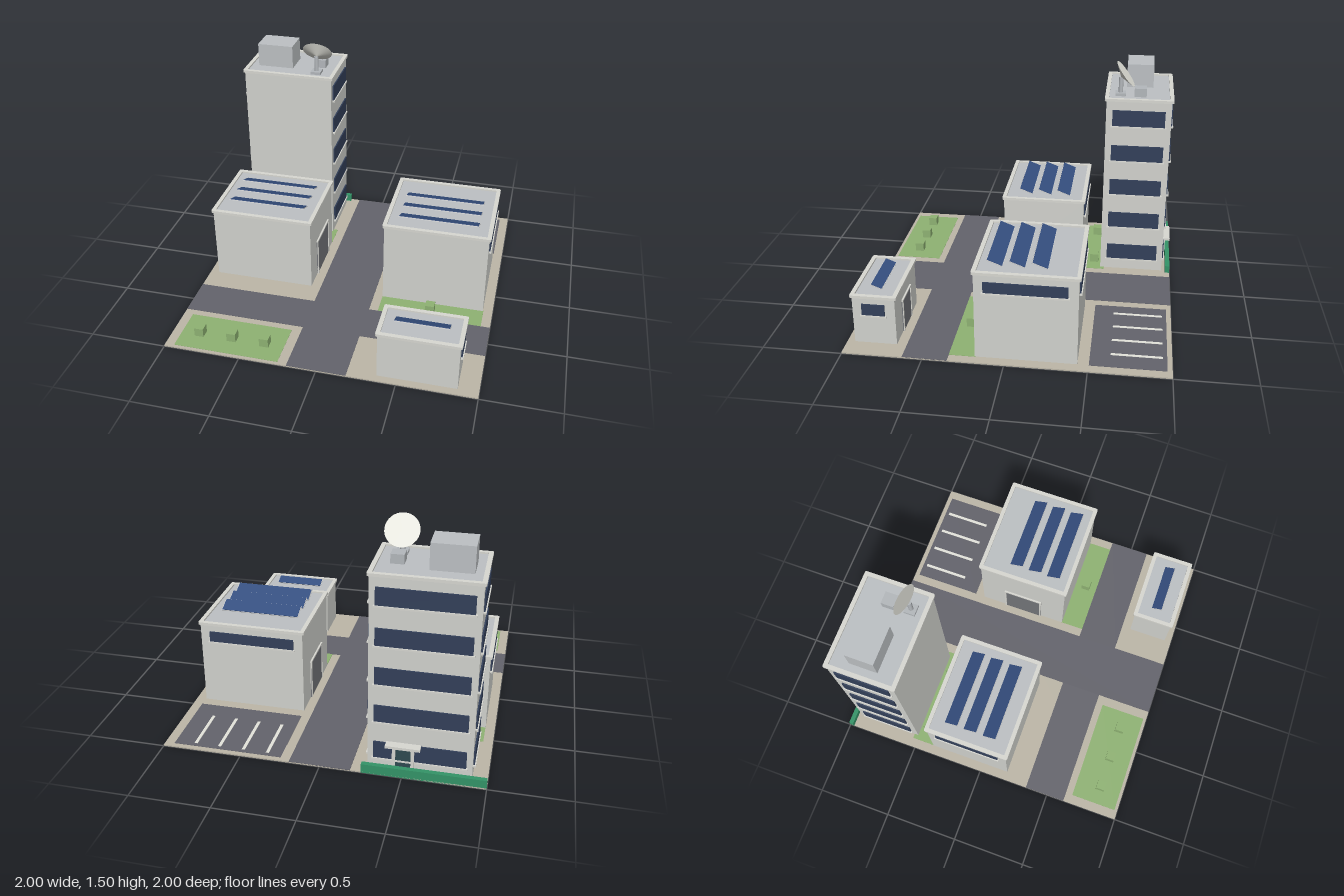
import * as THREE from 'three';

const mat = (color) => new THREE.MeshStandardMaterial({ color });
const M = {
  ground: mat(0xbdb7a8), road: mat(0x64646c), grass: mat(0x8fb373), line: mat(0xe4e4dc),
  wall: mat(0xd2d3ce), trim: mat(0xd8d8d2), roof: mat(0xbdc1c4), glass: mat(0x33405a),
  solar: mat(0x354f80), frame: mat(0xc4c6c6), door: mat(0x74767a), entry: mat(0x2f4a50),
  hedge: mat(0x349468), bush: mat(0x8fb373), dish: mat(0xe0e0d8), metal: mat(0xb4b8bc),
};
const G = 0.008; // ground level

// Box given by its extents on each axis
function box(parent, name, m, [x0, x1], [y0, y1], [z0, z1]) {
  const mesh = new THREE.Mesh(new THREE.BoxGeometry(x1 - x0, y1 - y0, z1 - z0), m);
  mesh.name = name;
  mesh.position.set((x0 + x1) / 2, (y0 + y1) / 2, (z0 + z1) / 2);
  parent.add(mesh);
  return mesh;
}

function roundedRect(target, w, d, r) {
  const a = w / 2, b = d / 2;
  target.moveTo(-a + r, -b);
  target.lineTo(a - r, -b).quadraticCurveTo(a, -b, a, -b + r);
  target.lineTo(a, b - r).quadraticCurveTo(a, b, a - r, b);
  target.lineTo(-a + r, b).quadraticCurveTo(-a, b, -a, b - r);
  target.lineTo(-a, -b + r).quadraticCurveTo(-a, -b, -a + r, -b);
  return target;
}

// Walls, recessed roof and a parapet ring with slightly rounded corners
function building(parent, name, x, z, top) {
  const g = new THREE.Group();
  g.name = name;
  parent.add(g);
  box(g, 'walls', M.wall, x, [G, top - 0.018], z);
  const w = x[1] - x[0], d = z[1] - z[0];
  box(g, 'roof', M.roof, [x[0] + 0.01, x[1] - 0.01], [top - 0.03, top - 0.011], [z[0] + 0.01, z[1] - 0.01]);
  const shape = roundedRect(new THREE.Shape(), w + 0.024, d + 0.024, 0.012);
  shape.holes.push(roundedRect(new THREE.Path(), w - 0.03, d - 0.03, 0.004));
  const geo = new THREE.ExtrudeGeometry(shape, { depth: 0.018, bevelEnabled: false, curveSegments: 3 });
  const ring = new THREE.Mesh(geo.rotateX(-Math.PI / 2), M.trim);
  ring.name = 'parapet';
  ring.position.set((x[0] + x[1]) / 2, top - 0.018, (z[0] + z[1]) / 2);
  g.add(ring);
  return g;
}

// Range standing out from a wall at p, towards direction s
const out = (p, s, t) => (s > 0 ? [p - 0.004, p + t] : [p - t, p + 0.004]);

// Window strip with a sill; axis is the wall's normal
function windowStrip(g, axis, s, p, [a, b], [y0, y1]) {
  const put = (name, m, t, range, y) => (axis === 'x'
    ? box(g, name, m, out(p, s, t), y, range)
    : box(g, name, m, range, y, out(p, s, t)));
  put('window', M.glass, 0.009, [a, b], [y0, y1]);
  put('windowSill', M.trim, 0.016, [a - 0.01, b + 0.01], [y0 - 0.011, y0]);
}

// Door panel with jambs and lintel
function framedDoor(g, axis, s, p, c, width, height, m) {
  const put = (name, mm, t, range, y) => (axis === 'x'
    ? box(g, name, mm, out(p, s, t), y, range)
    : box(g, name, mm, range, y, out(p, s, t)));
  const h = width / 2, f = 0.012;
  put('door', m, 0.006, [c - h, c + h], [G, height - f]);
  for (const k of [-1, 1]) put('doorJamb', M.trim, 0.011, [c + k * (h - f / 2) - f / 2, c + k * (h - f / 2) + f / 2], [G, height - f]);
  put('doorLintel', M.trim, 0.011, [c - h, c + h], [height - f, height]);
}

// Row of panels tilted towards the back
function solarPanels(g, [x0, x1], zs, depth, roofY) {
  const tilt = -0.37, len = depth / Math.cos(tilt);
  for (const z of zs) {
    const p = new THREE.Group();
    p.name = 'solarPanel';
    box(p, 'panelFrame', M.frame, [x0 - 0.004, x1 + 0.004], [-0.004, 0.001], [-len / 2 - 0.003, len / 2 + 0.003]);
    box(p, 'panelCells', M.solar, [x0, x1], [0, 0.004], [-len / 2, len / 2]);
    p.position.set(0, roofY + 0.005 + (depth / 2) * Math.tan(-tilt), z);
    p.rotation.x = tilt;
    g.add(p);
  }
}

export function createModel() {
  const root = new THREE.Group();
  root.name = 'campus';

  // Ground, roads, lawns and parking
  const site = new THREE.Group();
  site.name = 'site';
  root.add(site);
  box(site, 'groundSlab', M.ground, [-1, 1], [0, G], [-1, 1]);
  const patch = (name, m, x, z, h) => box(site, name, m, x, [G - 0.003, G + h], z);
  patch('mainRoad', M.road, [-0.19, 0.19], [-1, 1], 0.002);
  for (const x of [[-1, -0.19], [0.19, 1]]) patch('crossRoad', M.road, x, [0.345, 0.623], 0.002);
  patch('parkingLot', M.road, [0.25, 0.94], [-0.97, -0.505], 0.002);
  for (let i = 0; i < 4; i++) {
    const x = 0.343 + i * 0.155;
    patch('parkingLine', M.line, [x - 0.01, x + 0.01], [-0.944, -0.63], 0.004);
  }
  patch('lawn', M.grass, [-0.94, -0.252], [0.67, 0.98], 0.002);
  patch('lawn', M.grass, [-0.94, -0.252], [-0.535, -0.37], 0.002);
  patch('lawn', M.grass, [0.25, 0.94], [0.18, 0.345], 0.002);

  // Clipped bushes and back hedge
  const bushes = [[-0.815, 0.84], [-0.597, 0.84], [-0.378, 0.84], [0.59, 0.265], [-0.815, -0.46], [-0.378, -0.46]];
  for (const [x, z] of bushes) patch('bush', M.bush, [x - 0.03, x + 0.03], [z - 0.03, z + 0.03], 0.062);
  box(site, 'hedge', M.hedge, [-1, -0.255], [0, 0.06], [-1, -0.97]);

  // Tower with five floors of windows on three sides
  const tower = building(root, 'tower', [-0.909, -0.284], [-0.943, -0.508], 1.28);
  for (let i = 0; i < 5; i++) {
    const y = [0.09 + i * 0.25, 0.2 + i * 0.25];
    windowStrip(tower, 'x', 1, -0.284, [-0.902, -0.551], y);
    windowStrip(tower, 'x', -1, -0.909, [-0.902, -0.551], y);
    windowStrip(tower, 'z', -1, -0.943, [-0.872, -0.32], y);
  }
  // Back entrance
  box(tower, 'entranceDoor', M.entry, [-0.55, -0.45], [G, 0.17], [-0.955, -0.94]);
  for (const x of [-0.556, -0.444]) box(tower, 'entranceJamb', M.trim, [x - 0.01, x + 0.01], [G, 0.185], [-0.963, -0.94]);
  box(tower, 'entranceLintel', M.trim, [-0.566, -0.434], [0.168, 0.192], [-0.963, -0.94]);
  box(tower, 'canopy', M.trim, [-0.604, -0.396], [0.192, 0.208], [-0.995, -0.94]);

  // Rooftop plant and dish
  box(tower, 'plantRoom', M.roof, [-0.846, -0.595], [1.26, 1.43], [-0.817, -0.634]);
  box(tower, 'equipmentBox', M.metal, [-0.45, -0.37], [1.26, 1.327], [-0.772, -0.69]);
  box(tower, 'mastBase', M.metal, [-0.445, -0.375], [1.26, 1.288], [-0.632, -0.562]);
  const mast = new THREE.Mesh(new THREE.CylinderGeometry(0.015, 0.015, 0.115, 12), M.metal);
  mast.name = 'mast';
  mast.position.set(-0.41, 1.335, -0.597);
  tower.add(mast);
  const dish = new THREE.Mesh(new THREE.ConeGeometry(0.103, 0.04, 32), M.dish);
  dish.name = 'dish';
  const aim = new THREE.Vector3(0, -0.605, 0.796); // cone tip, away from the sky side
  dish.quaternion.setFromUnitVectors(new THREE.Vector3(0, 1, 0), aim);
  dish.position.set(-0.41, 1.417, -0.627).addScaledVector(aim, 0.02);
  tower.add(dish);

  // West hall
  const west = building(root, 'westHall', [-0.941, -0.256], [-0.377, 0.184], 0.532);
  windowStrip(west, 'x', -1, -0.941, [-0.317, 0.124], [0.395, 0.465]);
  windowStrip(west, 'z', -1, -0.377, [-0.88, -0.317], [0.395, 0.465]);
  framedDoor(west, 'x', 1, -0.256, -0.11, 0.29, 0.285, M.door);
  solarPanels(west, [-0.853, -0.333], [-0.23, -0.097, 0.037], 0.088, 0.53);

  // East hall
  const east = building(root, 'eastHall', [0.25, 0.936], [-0.436, 0.185], 0.594);
  windowStrip(east, 'x', 1, 0.936, [-0.374, 0.128], [0.46, 0.53]);
  windowStrip(east, 'z', -1, -0.436, [0.31, 0.875], [0.46, 0.53]);
  framedDoor(east, 'x', -1, 0.25, -0.123, 0.28, 0.285, M.door);
  solarPanels(east, [0.335, 0.855], [-0.2, -0.065, 0.07], 0.09, 0.592);

  // Gatehouse
  const gate = building(root, 'gatehouse', [0.373, 0.871], [0.685, 0.952], 0.342);
  windowStrip(gate, 'x', 1, 0.871, [0.749, 0.893], [0.208, 0.283]);
  framedDoor(gate, 'z', -1, 0.685, 0.622, 0.2, 0.235, M.door);
  solarPanels(gate, [0.455, 0.79], [0.818], 0.066, 0.342);

  return root;
}
